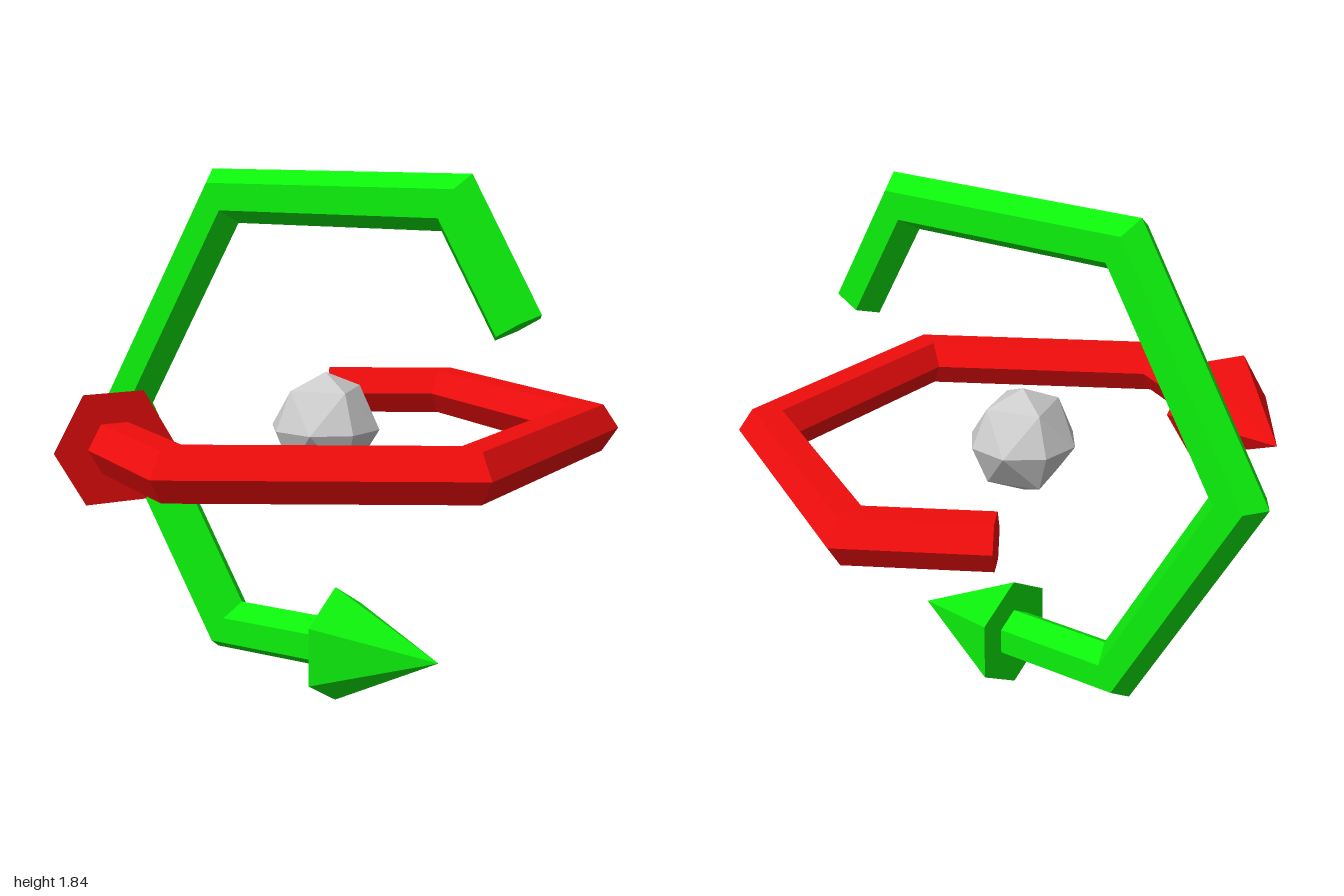
import * as THREE from 'three';

const APOTHEM = 0.771; // centre of ring to middle of each straight bar
const BAR = 0.092; // bar radius
const CENTER_Y = 0.977;

// Hexagonal ring with one and a half sides left open, mitred at the corners
function barGeometry() {
  const stations = [30, 60, 120, 180, 240, 270].map((deg, i, all) => {
    const a = THREE.MathUtils.degToRad(deg);
    const miter = i === 0 || i === all.length - 1 ? 1 : 1 / Math.cos(Math.PI / 6);
    return Array.from({ length: 6 }, (_, j) => {
      const phi = (j * Math.PI) / 3;
      const r = (APOTHEM + BAR * Math.cos(phi)) * miter;
      return new THREE.Vector3(r * Math.cos(a), r * Math.sin(a), BAR * Math.sin(phi));
    });
  });
  const points = [];
  for (let i = 0; i < stations.length - 1; i++) {
    const s = stations[i], e = stations[i + 1];
    for (let j = 0; j < 6; j++) {
      const k = (j + 1) % 6;
      points.push(s[j], e[j], e[k], s[j], e[k], s[k]);
    }
  }
  // End caps
  const first = stations[0], last = stations[stations.length - 1];
  for (let j = 1; j < 5; j++) {
    points.push(first[0], first[j], first[j + 1]);
    points.push(last[0], last[j + 1], last[j]);
  }
  const geometry = new THREE.BufferGeometry().setFromPoints(points);
  geometry.computeVertexNormals();
  return geometry;
}

function rotationArrow(name, color) {
  const material = new THREE.MeshStandardMaterial({ color, flatShading: true });
  const arrow = new THREE.Group();
  arrow.name = name;

  const bar = new THREE.Mesh(barGeometry(), material);
  bar.name = name + 'Bar';

  const length = 0.405;
  const cone = new THREE.ConeGeometry(0.206, length, 6, 1, false, Math.PI / 6);
  const head = new THREE.Mesh(cone, material);
  head.name = name + 'Head';
  head.rotation.z = -Math.PI / 2;
  head.position.set(length / 2, -APOTHEM, 0);

  arrow.add(bar, head);
  return arrow;
}

export function createModel() {
  const model = new THREE.Group();
  model.name = 'rotationArrows';

  // Upright arrow
  const upright = rotationArrow('uprightArrow', 0x0cf00c);
  upright.position.set(0.085, CENTER_Y, 0);

  // Level arrow
  const level = rotationArrow('levelArrow', 0xf00c0c);
  level.rotation.set(Math.PI / 2, 0, THREE.MathUtils.degToRad(210));
  level.position.set(0.045, CENTER_Y, 0);

  // Faceted ball in the middle
  const ball = new THREE.Mesh(
    new THREE.OctahedronGeometry(0.19, 1),
    new THREE.MeshStandardMaterial({ color: 0xcccccc, flatShading: true })
  );
  ball.name = 'centerBall';
  ball.rotation.y = -Math.PI / 6;
  ball.position.set(0.05, CENTER_Y, 0.01);

  model.add(upright, level, ball);
  return model;
}
